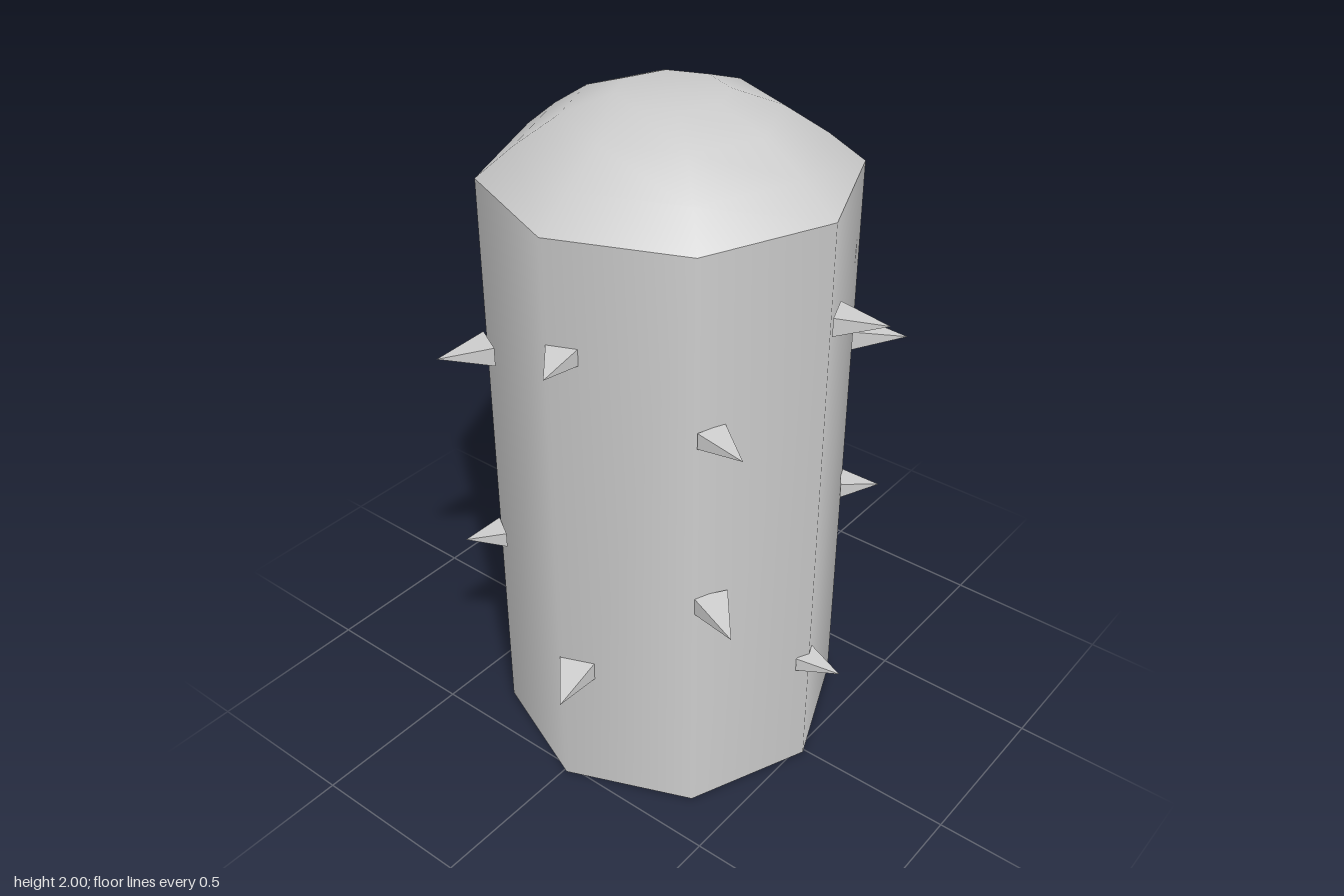
import * as THREE from 'three';

const material = new THREE.MeshStandardMaterial({ color: 0xcccccc });
const spikeMaterial = new THREE.MeshStandardMaterial({ color: 0xcccccc, flatShading: true });

const RADIUS = 0.512, BODY_HEIGHT = 1.785, CENTRE = 0.01;

// Spikes sit beside each corner: [base x, base z, tip x, tip z, base width, heights...]
const SPIKES = [
  // front corner
  [0.055, 0.5, 0.118, 0.645, 0.105, 0.43],
  [0.05, 0.5, 0.097, 0.622, 0.088, 1.467],
  // front left corner
  [0.392, 0.325, 0.53, 0.415, 0.1, 0.735],
  [0.39, 0.33, 0.52, 0.372, 0.085, 1.275],
  // left corner
  [0.51, -0.035, 0.64, -0.087, 0.096, 1.495],
  [0.505, 0.015, 0.628, 0.01, 0.08, 0.38],
  // back left corner
  [0.395, -0.315, 0.527, -0.388, 0.1, 1.29],
  [0.383, -0.325, 0.477, -0.39, 0.085, 0.765],
  // back corner
  [0.055, -0.49, 0.08, -0.645, 0.1, 0.485],
  [0.045, -0.483, 0.06, -0.61, 0.085, 1.22],
  // back right corner
  [-0.318, -0.384, -0.408, -0.505, 0.1, 1.55, 0.84],
  [-0.33, -0.37, -0.403, -0.45, 0.085, 0.2],
  // right corner
  [-0.488, -0.035, -0.642, -0.07, 0.1, 0.88, 0.395],
  [-0.488, -0.03, -0.61, -0.055, 0.088, 1.31],
  // front right corner
  [-0.315, 0.4, -0.386, 0.53, 0.1, 1.305],
  [-0.325, 0.39, -0.385, 0.486, 0.085, 0.67],
];

// Unit pyramid: square 1 x 1 base at z = 0, tip at z = 1
function spikeGeometry() {
  return new THREE.ConeGeometry(Math.SQRT1_2, 1, 4)
    .rotateY(Math.PI / 4)
    .translate(0, 0.5, 0)
    .rotateX(Math.PI / 2);
}

export function createModel() {
  const model = new THREE.Group();
  model.name = 'cactus';

  // Eight-sided trunk, smooth around its side
  const trunk = new THREE.Mesh(
    new THREE.CylinderGeometry(RADIUS, RADIUS, BODY_HEIGHT, 8), material);
  trunk.name = 'trunk';
  trunk.position.set(CENTRE, BODY_HEIGHT / 2, CENTRE);
  model.add(trunk);

  // Rounded crown with a flat middle
  const profile = [[RADIUS, BODY_HEIGHT], [0.41, 1.868], [0.29, 1.948], [0.15, 2], [0, 2]]
    .map(([r, y]) => new THREE.Vector2(r, y));
  const crown = new THREE.Mesh(new THREE.LatheGeometry(profile, 8), material);
  crown.name = 'crown';
  crown.position.set(CENTRE, 0, CENTRE);
  model.add(crown);

  // Flattened pyramid spikes
  const spikes = new THREE.Group();
  spikes.name = 'spikes';
  const geometry = spikeGeometry();
  for (const [bx, bz, tx, tz, width, ...heights] of SPIKES) {
    for (const y of heights) {
      const spike = new THREE.Mesh(geometry, spikeMaterial);
      spike.name = 'spike';
      spike.position.set(bx, y, bz);
      spike.lookAt(tx, y, tz);
      spike.scale.set(width, width * 0.56, Math.hypot(tx - bx, tz - bz));
      spikes.add(spike);
    }
  }
  model.add(spikes);

  return model;
}
